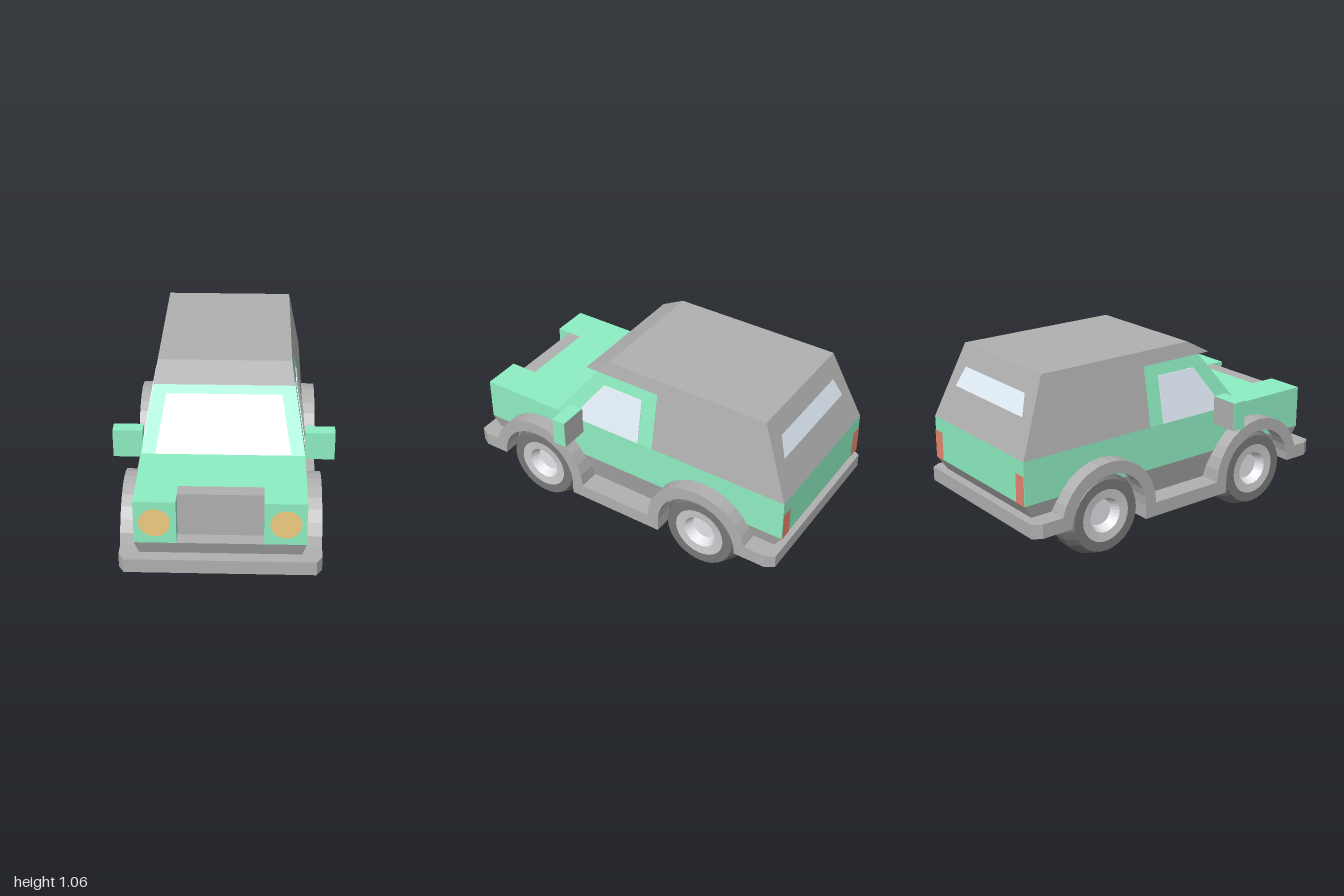
import * as THREE from 'three';

const mat = (color) => new THREE.MeshStandardMaterial({ color, flatShading: true });

export function createModel() {
  const car = new THREE.Group();
  car.name = 'offRoadCar';
  const paint = mat(0x8eeec2), trim = mat(0xb0b0b0), tyreMat = mat(0x777777), rimMat = mat(0xcccccc);
  const hubMat = mat(0xe2e2e8), glass = mat(0xe6f2fc), amber = mat(0xf0cc80), red = mat(0xe88670);

  const add = (name, geometry, material, parent = car) => {
    const mesh = new THREE.Mesh(geometry, material);
    mesh.name = name;
    parent.add(mesh);
    return mesh;
  };
  const box = (name, material, x0, x1, y0, y1, z0, z1) => add(name,
    new THREE.BoxGeometry(x1 - x0, y1 - y0, z1 - z0)
      .translate((x0 + x1) / 2, (y0 + y1) / 2, (z0 + z1) / 2), material);
  const extrude = (pts, depth) => new THREE.ExtrudeGeometry(
    new THREE.Shape(pts.map(([a, b]) => new THREE.Vector2(a, b))), { depth, bevelEnabled: false });

  // outline in [x, z], raised from y0 to y1
  const plan = (pts, y0, y1) => extrude(pts.map(([x, z]) => [x, -z]), y1 - y0)
    .rotateX(-Math.PI / 2).translate(0, y0, 0);
  // side outline in [z, y], spanning x0 to x1
  const side = (pts, x0, x1) => extrude(pts, x1 - x0).rotateY(-Math.PI / 2).translate(x1, 0, 0);
  // side outline whose walls lean inward with height
  const cabin = (pts, extra = 0) => {
    const g = side(pts, -1, 1), p = g.attributes.position;
    for (let i = 0; i < p.count; i++) {
      p.setX(i, Math.sign(p.getX(i)) * (0.445 + extra - 0.183 * (p.getY(i) - 0.655)));
    }
    g.computeVertexNormals();
    return g;
  };
  // symmetric flat pane: half width, y, z at bottom and top; dir is the way it faces in z
  const pane = (w0, y0, z0, w1, y1, z1, dir) => {
    const g = new THREE.BufferGeometry();
    g.setAttribute('position', new THREE.Float32BufferAttribute(
      [-w0 * dir, y0, z0, w0 * dir, y0, z0, w1 * dir, y1, z1, -w1 * dir, y1, z1], 3));
    g.setIndex([0, 1, 2, 0, 2, 3]);
    g.computeVertexNormals();
    return g;
  };

  // Painted lower body with a notch for the grille
  add('lowerBody', plan([[-0.445, -1], [0.445, -1], [0.445, 0.96], [0.225, 0.96], [0.225, 0.8],
    [-0.225, 0.8], [-0.225, 0.96], [-0.445, 0.96]], 0.41, 0.655), paint);
  box('grille', trim, -0.225, 0.225, 0.41, 0.655, 0.8, 0.88);

  // Sill skirt tapering in towards the bottom
  const skirt = new THREE.BoxGeometry(0.89, 0.16, 1.96).translate(0, 0.33, -0.02);
  const sp = skirt.attributes.position;
  for (let i = 0; i < sp.count; i++) {
    if (sp.getY(i) > 0.33) continue;
    sp.setX(i, Math.sign(sp.getX(i)) * 0.405);
    sp.setZ(i, sp.getZ(i) > 0 ? 0.9 : -0.9);
  }
  skirt.computeVertexNormals();
  add('skirt', skirt, trim);

  // Cab, hard top with visor, and glazing
  add('cab', cabin([[0.47, 0.655], [0.21, 0.985], [-0.18, 0.985], [-0.18, 0.655]]), paint);
  add('hardTop', cabin([[-0.18, 0.655], [-0.18, 0.985], [0.285, 0.985], [0.14, 1.065],
    [-0.83, 1.065], [-1, 0.655]]), trim);
  add('sideWindows', cabin([[0.355, 0.657], [0.16, 0.92], [-0.09, 0.92], [-0.09, 0.657]], 0.004), glass);
  add('windscreen', pane(0.368, 0.657, 0.473, 0.317, 0.92, 0.266, 1), glass);
  add('rearWindow', pane(0.33, 0.845, -0.925, 0.29, 0.955, -0.879, -1), glass);

  // Bumpers with chamfered corners
  const bumper = (end, inner, chamfer) => plan([[-0.53, inner], [-0.53, end - chamfer],
    [-0.5, end], [0.5, end], [0.53, end - chamfer], [0.53, inner]], 0.25, 0.33);
  add('frontBumper', bumper(1, 0.805, 0.05), trim);
  add('rearBumper', bumper(-1, -0.765, -0.05), trim);

  // Underbody
  box('floor', trim, -0.33, 0.33, 0.17, 0.33, -0.765, 0.805);
  box('runningBoards', trim, -0.53, 0.53, 0.17, 0.25, -0.275, 0.315);

  // Wheel arch outline: half ring around the wheel centre
  const archOutline = (cz) => {
    const pts = [], n = 14;
    for (let i = 0; i <= n; i++) {
      const a = Math.PI * i / n;
      pts.push([cz + 0.315 * Math.cos(a), 0.25 + 0.315 * Math.sin(a)]);
    }
    for (let i = n; i >= 0; i--) {
      const a = Math.PI * i / n;
      pts.push([cz + 0.245 * Math.cos(a), 0.25 + 0.245 * Math.sin(a)]);
    }
    return pts;
  };
  // Wheel pieces turned around the x axis, points in [radius, x]
  const turned = (pts) => new THREE.LatheGeometry(
    pts.map(([r, x]) => new THREE.Vector2(r, x)), 28).rotateZ(-Math.PI / 2);
  const tyre = turned([[0, 0.33], [0.243, 0.33], [0.243, 0.41], [0.205, 0.49], [0.15, 0.49]]);
  const rim = turned([[0.15, 0.49], [0.098, 0.485]]);
  const hub = turned([[0.098, 0.485], [0.075, 0.43], [0, 0.43]]);

  for (const s of [1, -1]) {
    const label = s > 0 ? 'left' : 'right';
    for (const [end, cz] of [['Front', 0.56], ['Rear', -0.52]]) {
      const arch = s > 0 ? [0.4, 0.53] : [-0.53, -0.4];
      add(label + end + 'Arch', side(archOutline(cz), ...arch), trim);
      const wheel = new THREE.Group();
      wheel.name = label + end + 'Wheel';
      wheel.position.set(0, 0.245, cz);
      wheel.rotation.y = s > 0 ? 0 : Math.PI;
      add('tyre', tyre, tyreMat, wheel);
      add('rim', rim, rimMat, wheel);
      add('hub', hub, hubMat, wheel);
      car.add(wheel);
    }
    // Lamps
    add(label + 'Headlight', new THREE.CircleGeometry(0.082, 32).translate(s * 0.337, 0.533, 0.963), amber);
    add(label + 'TailLight', new THREE.PlaneGeometry(0.075, 0.165).rotateY(Math.PI)
      .translate(s * 0.4075, 0.493, -1.003), red);
    // Door mirror with its reflecting face
    const [x0, x1] = s > 0 ? [0.445, 0.61] : [-0.61, -0.445];
    box(label + 'Mirror', paint, x0, x1, 0.575, 0.738, 0.285, 0.365);
    add(label + 'MirrorFace', new THREE.PlaneGeometry(0.163, 0.161).rotateY(Math.PI)
      .translate((x0 + x1) / 2, 0.6565, 0.282), trim);
  }
  return car;
}
